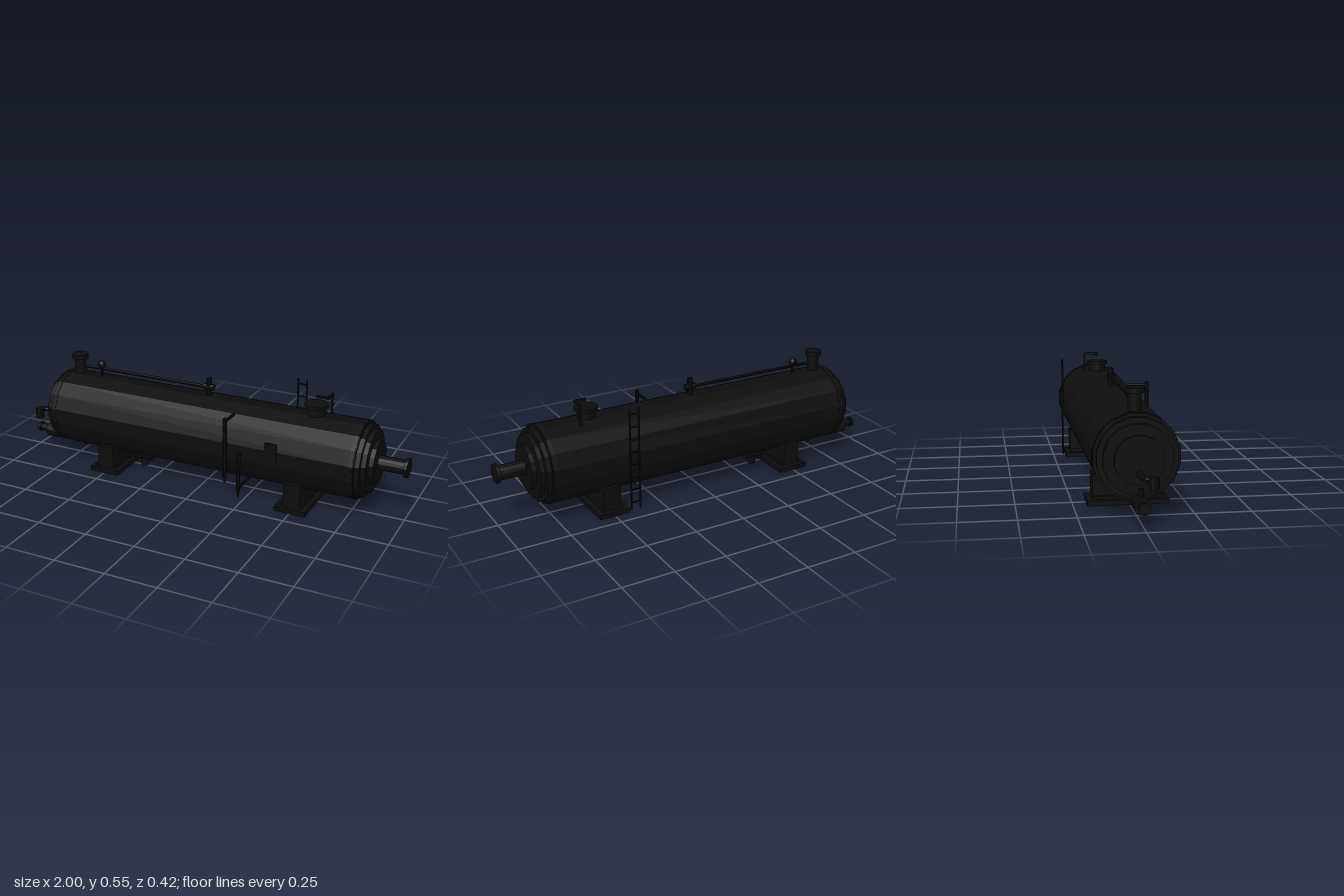
import * as THREE from 'three';

const black = new THREE.MeshStandardMaterial({ color: 0x0d0d0d, flatShading: true });
black.name = 'black paint';
const CY = 0.262, CZ = -0.007; // vessel axis

export function createModel() {
  const root = new THREE.Group();
  root.name = 'pressureVessel';

  const add = (parent, name, geometry, x = 0, y = 0, z = 0) => {
    const m = new THREE.Mesh(geometry, black);
    m.name = name;
    m.position.set(x, y, z);
    parent.add(m);
    return m;
  };
  const group = (name) => {
    const g = new THREE.Group();
    g.name = name;
    root.add(g);
    return g;
  };
  // Box and cylinder given by their extents
  const box = (p, name, x0, x1, y0, y1, z0, z1) =>
    add(p, name, new THREE.BoxGeometry(x1 - x0, y1 - y0, z1 - z0), (x0 + x1) / 2, (y0 + y1) / 2, (z0 + z1) / 2);
  const cylX = (p, name, x0, x1, r, y, z = CZ, n = 16) => {
    const g = new THREE.CylinderGeometry(r, r, x1 - x0, n);
    g.rotateY(Math.PI / n).rotateZ(-Math.PI / 2);
    return add(p, name, g, (x0 + x1) / 2, y, z);
  };
  const cylY = (p, name, y0, y1, r, x, z = CZ, n = 16) =>
    add(p, name, new THREE.CylinderGeometry(r, r, y1 - y0, n), x, (y0 + y1) / 2, z);
  const cylZ = (p, name, z0, z1, r, x, y, n = 8) => {
    const g = new THREE.CylinderGeometry(r, r, z1 - z0, n).rotateX(Math.PI / 2);
    return add(p, name, g, x, y, (z0 + z1) / 2);
  };
  const tube = (p, name, pts, r) =>
    add(p, name, new THREE.TubeGeometry(new THREE.CatmullRomCurve3(pts.map(a => new THREE.Vector3(...a))), 16, r, 8));

  // Shell with stepped heads
  const shell = group('vessel');
  cylX(shell, 'shell', -0.795, 0.795, 0.187, CY);
  for (const s of [-1, 1]) {
    const step = (name, a, b, r) => cylX(shell, name, Math.min(s * a, s * b), Math.max(s * a, s * b), r, CY);
    step('seamRing', 0.77, 0.79, 0.189);
    step('headStepOuter', 0.79, 0.818, 0.174);
    step('headStepMiddle', 0.81, 0.84, 0.15);
    step('headStepInner', 0.83, 0.862, 0.105);
  }

  // End nozzle
  const end = group('endNozzle');
  cylX(end, 'endPipe', 0.85, 0.99, 0.035, CY);
  cylX(end, 'endFlange', 0.985, 1.0, 0.046, CY);

  // Saddles
  for (const x of [-0.5, 0.5]) {
    const g = group('saddle');
    box(g, 'basePlate', x - 0.077, x + 0.077, 0, 0.022, -0.188, 0.175);
    box(g, 'web', x - 0.042, x + 0.042, 0.02, 0.137, -0.163, 0.153);
    box(g, 'webFoot', x - 0.052, x + 0.052, 0.02, 0.037, -0.163, 0.153);
  }

  // Top nozzle and manway
  const top = group('topNozzle');
  cylY(top, 'topNeck', 0.42, 0.53, 0.029, -0.725);
  cylY(top, 'topFlange', 0.523, 0.545, 0.041, -0.725);
  const manway = group('manway');
  cylY(manway, 'manwayNeck', 0.42, 0.485, 0.044, 0.547);
  cylY(manway, 'manwayCover', 0.48, 0.496, 0.055, 0.547);
  box(manway, 'davitPost', 0.596, 0.606, 0.43, 0.535, -0.073, -0.063);
  box(manway, 'davitSideArm', 0.596, 0.606, 0.524, 0.535, -0.073, -0.002);
  box(manway, 'davitFrontArm', 0.545, 0.606, 0.524, 0.535, -0.013, -0.002);

  // Top pipe run with gauge and valve
  const run = group('topPipeRun');
  cylX(run, 'topPipe', -0.7, 0, 0.008, 0.484, CZ, 8);
  cylY(run, 'gaugeStem', 0.43, 0.49, 0.006, -0.6, CZ, 8);
  add(run, 'gaugeBall', new THREE.SphereGeometry(0.021, 10, 8), -0.6, 0.505, CZ);
  cylY(run, 'valveStem', 0.43, 0.53, 0.014, 0, CZ, 8);
  cylX(run, 'valveBody', -0.027, 0.027, 0.016, 0.485, CZ, 8);

  // Outlet pipe from the bottom towards the left end
  const outlet = group('outletPipe');
  cylY(outlet, 'outletNozzle', 0.05, 0.11, 0.021, -0.705, CZ, 12);
  cylX(outlet, 'outletRun', -0.99, -0.7, 0.019, 0.093, CZ, 12);
  cylX(outlet, 'outletFlange', -1.0, -0.985, 0.026, 0.095, CZ, 12);
  cylX(outlet, 'outletValve', -0.94, -0.875, 0.037, 0.09, CZ, 12);
  cylY(outlet, 'outletValveStem', 0.1, 0.158, 0.011, -0.908, CZ, 8);

  // Bent upper vent pipe
  const vent = group('ventPipe');
  tube(vent, 'ventBend', [[-0.84, 0.207, CZ], [-0.91, 0.207, CZ], [-0.95, 0.207, 0.006], [-0.968, 0.207, 0.032]], 0.013);
  cylY(vent, 'ventOutlet', 0.165, 0.218, 0.021, -0.969, 0.034, 8);

  // Bottom drain with side flanges
  const drain = group('drain');
  cylY(drain, 'drainNeck', 0.05, 0.11, 0.03, -0.365, CZ, 12);
  cylX(drain, 'drainBody', -0.41, -0.32, 0.025, 0.057, CZ, 12);
  for (const x of [-0.415, -0.33]) cylX(drain, 'drainFlange', x, x + 0.015, 0.03, 0.06, CZ, 12);
  cylY(drain, 'drainStem', 0, 0.04, 0.02, -0.365, CZ, 12);

  // Level gauges on the front: x, bottom, top, arms as [y, inner z]
  for (const [x, y0, y1, arms] of [
    [0.18, 0.13, 0.432, [[0.416, 0.1], [0.156, 0.12]]],
    [0.25, 0.07, 0.275, [[0.257, 0.16], [0.088, 0.03]]],
  ]) {
    const g = group('levelGauge');
    cylY(g, 'gaugeColumn', y0, y1, 0.0105, x, 0.2, 8);
    cylY(g, 'gaugeDrain', y0 - 0.023, y0, 0.005, x, 0.2, 8);
    for (const [y, z] of arms) cylZ(g, 'gaugeArm', z, 0.2, 0.007, x, y);
  }

  // Nameplate
  box(root, 'nameplate', 0.37, 0.43, 0.25, 0.337, 0.172, 0.18);

  // Rear ladder
  const ladder = group('ladder');
  for (const x of [0.38, 0.425]) box(ladder, 'ladderRail', x - 0.003, x + 0.003, 0.025, 0.523, -0.21, -0.204);
  for (let i = 0; i < 8; i++) {
    const y = 0.06 + i * 0.0625;
    box(ladder, 'ladderRung', 0.38, 0.425, y - 0.003, y + 0.003, -0.21, -0.204);
  }
  return root;
}
